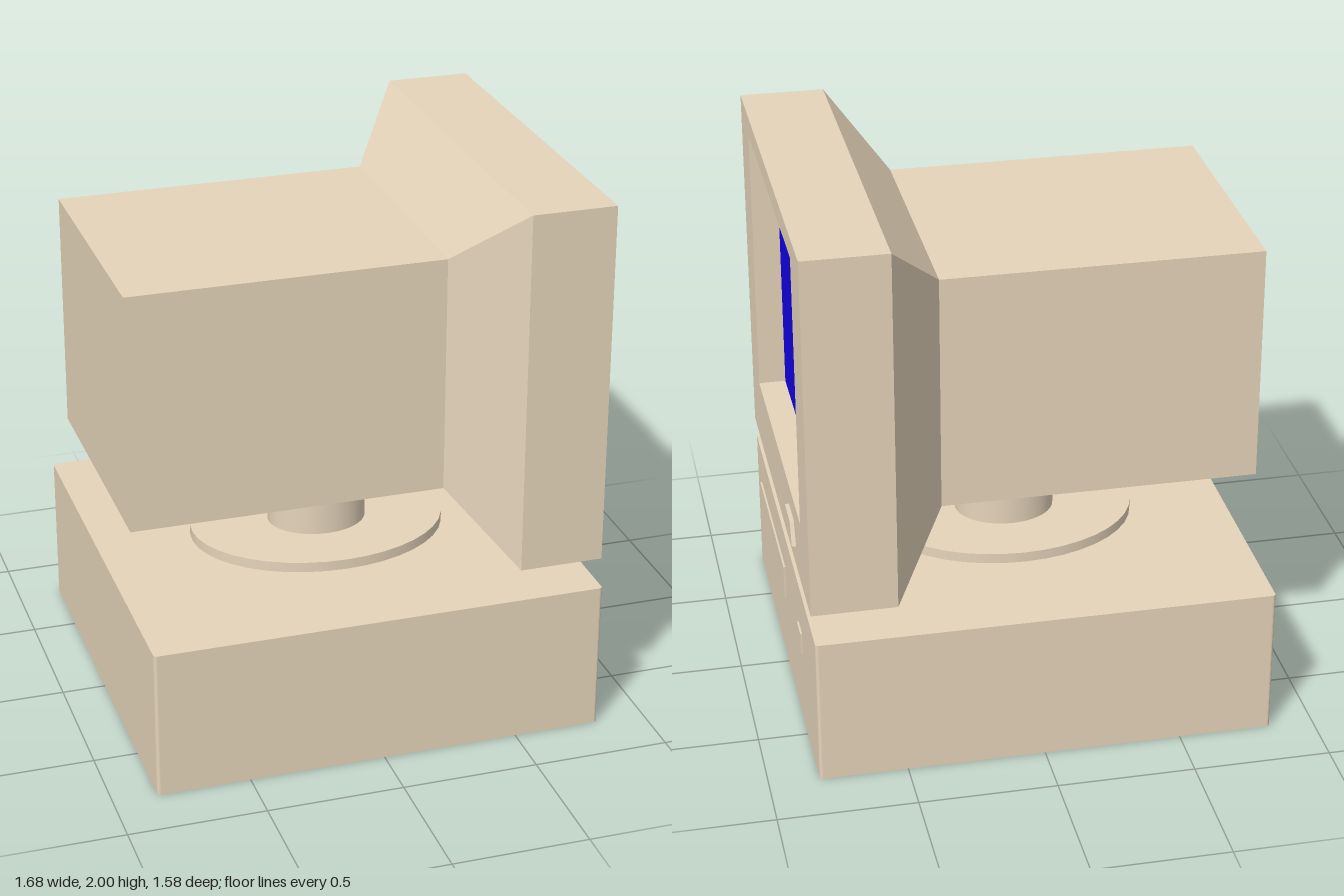
import * as THREE from 'three';

// Flat-shaded skin through rectangular rings stacked along x.
// Each ring is [x, yLow, yHigh, halfWidth]; the first ring is capped.
function ringShell(rings) {
  const corners = rings.map(([x, lo, hi, w]) => [[x, lo, w], [x, lo, -w], [x, hi, -w], [x, hi, w]]);
  const pos = [];
  const quad = (a, b, c, d) => pos.push(...a, ...b, ...c, ...a, ...c, ...d);
  for (let i = 0; i < corners.length - 1; i++) {
    for (let k = 0; k < 4; k++) {
      const n = (k + 1) % 4;
      quad(corners[i][k], corners[i][n], corners[i + 1][n], corners[i + 1][k]);
    }
  }
  const [a, b, c, d] = corners[0];
  quad(d, c, b, a);
  const geo = new THREE.BufferGeometry();
  geo.setAttribute('position', new THREE.Float32BufferAttribute(pos, 3));
  geo.computeVertexNormals();
  return geo;
}

// Plate facing +x, outlined by [z, y] points and spanning x0 to x1.
function facePlate(points, x0, x1) {
  const shape = new THREE.Shape(points.map(([z, y]) => new THREE.Vector2(-z, y)));
  const geo = new THREE.ExtrudeGeometry(shape, { depth: x1 - x0, bevelEnabled: false });
  return geo.rotateY(Math.PI / 2).translate(x0, 0, 0);
}

const rect = (z0, z1, y0, y1) => [[z0, y0], [z1, y0], [z1, y1], [z0, y1]];

// Upright block with rounded vertical edges and crisp top and bottom.
function roundedBlock(x0, x1, halfZ, height, r) {
  const s = new THREE.Shape();
  s.absarc(x1 - r, halfZ - r, r, 0, Math.PI / 2);
  s.absarc(x0 + r, halfZ - r, r, Math.PI / 2, Math.PI);
  s.absarc(x0 + r, r - halfZ, r, Math.PI, Math.PI * 1.5);
  s.absarc(x1 - r, r - halfZ, r, Math.PI * 1.5, Math.PI * 2);
  const geo = new THREE.ExtrudeGeometry(s, { depth: height, bevelEnabled: false, curveSegments: 4 });
  return geo.rotateX(-Math.PI / 2);
}

// Upright cylinder squeezed to an oval footprint.
function oval(rx, rz, y0, y1) {
  return new THREE.CylinderGeometry(1, 1, y1 - y0, 40).scale(rx, 1, rz).translate(-0.011, (y0 + y1) / 2, 0);
}

export function createModel() {
  const beige = new THREE.MeshStandardMaterial({ color: 0xe5d4ba });
  beige.name = 'beige plastic';
  const blue = new THREE.MeshStandardMaterial({ color: 0x1400e4 });
  blue.name = 'screen blue';

  const model = new THREE.Group();
  model.name = 'desktopComputer';
  const add = (name, geo, mat = beige) => {
    const mesh = new THREE.Mesh(geo, mat);
    mesh.name = name;
    model.add(mesh);
  };

  // Desktop case with its drive cover and power switch
  add('case', roundedBlock(-0.839, 0.818, 0.79, 0.556, 0.012));
  add('driveCover', facePlate(rect(0.667, 0.001, 0.277, 0.412), 0.80, 0.825));
  add('powerSwitch', facePlate(rect(-0.347, -0.432, 0.303, 0.387), 0.80, 0.825));

  // Swivel stand
  add('standDisc', oval(0.477, 0.377, 0.55, 0.594));
  add('standColumn', oval(0.184, 0.158, 0.59, 0.9));

  // Monitor housing: rear box, flare, bezel, then the screen recess
  add('monitorHousing', ringShell([
    [-0.837, 0.887, 1.767, 0.488],
    [0.314, 0.887, 1.767, 0.488],
    [0.518, 0.654, 2.0, 0.75],
    [0.825, 0.654, 2.0, 0.75],
    [0.825, 0.908, 1.923, 0.547],
    [0.725, 0.908, 1.923, 0.547],
  ]));
  add('screen', facePlate(rect(0.547, -0.547, 0.908, 1.923), 0.718, 0.725), blue);
  add('monitorButton', facePlate([[-0.28, 0.739], [-0.41, 0.739], [-0.372, 0.823], [-0.248, 0.823]], 0.81, 0.84));

  return model;
}
